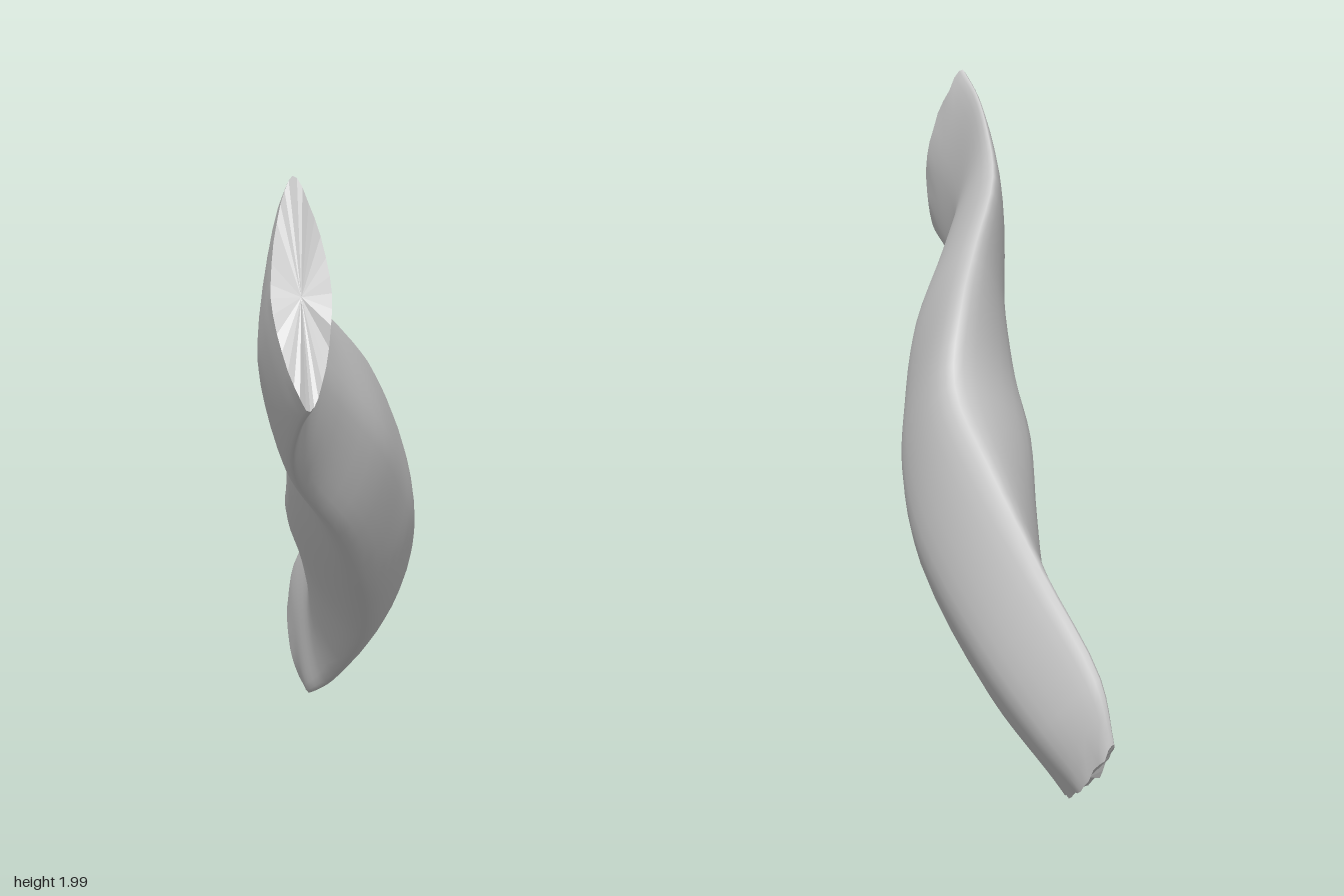
import * as THREE from 'three';

// Stations along the strip: upper ridge, back bulge, lower edge, front bulge
const STATIONS = [
  [[-0.9, 0.25, -0.84], [-0.78, 0.09, -0.82], [-0.64, 0.01, -0.68], [-0.78, 0.1, -0.74]],
  [[-0.84, 0.42, -0.82], [-0.64, 0.22, -0.83], [-0.5, 0.05, -0.56], [-0.68, 0.25, -0.67]],
  [[-0.6, 0.68, -0.75], [-0.4, 0.4, -0.77], [-0.33, 0.14, -0.48], [-0.52, 0.4, -0.57]],
  [[-0.35, 0.92, -0.64], [-0.05, 0.64, -0.58], [0.02, 0.4, -0.28], [-0.28, 0.66, -0.29]],
  [[-0.12, 1.12, -0.49], [0.16, 0.82, -0.38], [0.18, 0.56, -0.13], [-0.1, 0.86, -0.05]],
  [[0, 1.34, -0.28], [0.29, 0.98, -0.19], [0.3, 0.7, 0.02], [0.08, 1.0, 0.12]],
  [[0.12, 1.48, -0.04], [0.43, 1.16, 0.05], [0.42, 0.9, 0.24], [0.2, 1.18, 0.24]],
  [[0.3, 1.67, 0.32], [0.54, 1.36, 0.35], [0.5, 1.08, 0.47], [0.38, 1.34, 0.49]],
  [[0.45, 1.81, 0.5], [0.62, 1.5, 0.55], [0.6, 1.19, 0.6], [0.5, 1.47, 0.64]],
  [[0.57, 1.92, 0.61], [0.72, 1.62, 0.65], [0.78, 1.33, 0.75], [0.64, 1.6, 0.75]],
  [[0.67, 2, 0.67], [0.84, 1.7, 0.69], [0.89, 1.4, 0.82], [0.72, 1.68, 0.8]],
];
const ROWS = 40, SIDES = 32;

function buildGeometry(points, index) {
  const g = new THREE.BufferGeometry();
  g.setAttribute('position', new THREE.Float32BufferAttribute(points.flatMap(p => p.toArray()), 3));
  g.setIndex(index);
  g.computeVertexNormals();
  return g;
}

// Rings of the loft, with a slightly ragged rim at both ends
function makeRings() {
  const rails = [0, 1, 2, 3].map(k =>
    new THREE.CatmullRomCurve3(STATIONS.map(s => new THREE.Vector3(...s[k]))));
  const along = new THREE.Vector3(0.55, 0.55, 0.6);
  const rings = [];
  for (let i = 0; i <= ROWS; i++) {
    const section = new THREE.CatmullRomCurve3(rails.map(r => r.getPoint(i / ROWS)), true);
    const ring = [];
    for (let j = 0; j < SIDES; j++) {
      const p = section.getPoint(j / SIDES);
      const tear = 0.012 * Math.sin(j * 2.7) * Math.sin(j * 1.3 + 1);
      if (j % (SIDES / 2) !== 0 && (i === 0 || i === ROWS)) p.addScaledVector(along, tear);
      ring.push(p);
    }
    rings.push(ring);
  }
  return rings;
}

// Torn end face, fanned from its slightly sunken middle
function makeCap(ring, inward, flip) {
  const centre = new THREE.Vector3();
  ring.forEach(p => centre.addScaledVector(p, 1 / SIDES));
  centre.add(inward);
  const index = [];
  for (let j = 0; j < SIDES; j++) {
    const k = (j + 1) % SIDES;
    index.push(SIDES, flip ? k : j, flip ? j : k);
  }
  return buildGeometry([...ring, centre], index);
}

export function createModel() {
  const group = new THREE.Group();
  const smooth = new THREE.MeshStandardMaterial({ color: 0xcccccc, side: THREE.DoubleSide });
  const flat = new THREE.MeshStandardMaterial({ color: 0xcccccc, flatShading: true, side: THREE.DoubleSide });
  const add = (name, geometry, material) => {
    const mesh = new THREE.Mesh(geometry, material);
    mesh.name = name;
    group.add(mesh);
  };

  // Twisted body
  const rings = makeRings();
  const index = [];
  for (let i = 0; i < ROWS; i++) {
    for (let j = 0; j < SIDES; j++) {
      const k = (j + 1) % SIDES;
      const a = i * SIDES + j, b = i * SIDES + k, c = a + SIDES, d = b + SIDES;
      index.push(a, c, b, b, c, d);
    }
  }
  add('body', buildGeometry(rings.flat(), index), smooth);

  // Torn ends
  add('lowerEnd', makeCap(rings[0], new THREE.Vector3(0, 0, 0), false), flat);
  add('upperEnd', makeCap(rings[ROWS], new THREE.Vector3(-0.01, -0.01, -0.01), true), flat);
  return group;
}
